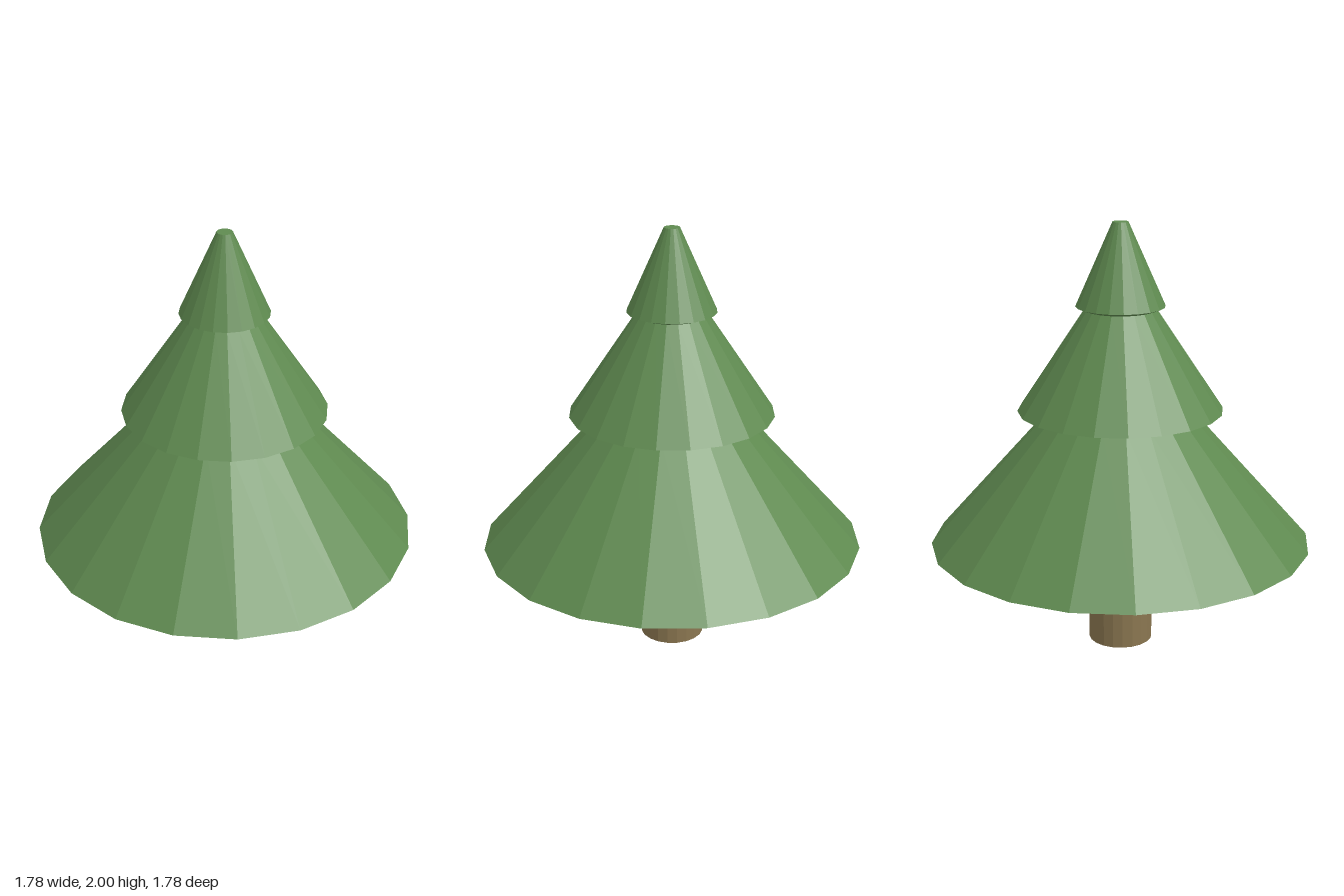
import * as THREE from 'three';

const SIDES = 20;

export function createModel() {
  const tree = new THREE.Group();
  tree.name = 'pineTree';

  const bark = new THREE.MeshStandardMaterial({ color: 0x8a7650, flatShading: true });
  const needles = new THREE.MeshStandardMaterial({ color: 0x5f8a50, flatShading: true });

  // Faceted ring surface from [radius, height] pairs, listed bottom to top
  const addLathe = (name, profile, material) => {
    const points = profile.map(([r, y]) => new THREE.Vector2(r, y));
    const mesh = new THREE.Mesh(new THREE.LatheGeometry(points, SIDES), material);
    mesh.name = name;
    tree.add(mesh);
  };

  // Trunk, with a green disc closing its foot
  addLathe('trunk', [[0.15, 0], [0.15, 0.385]], bark);
  addLathe('trunkBase', [[0, 0], [0.15, 0]], needles);

  // Foliage tiers: each has a sloping underside, a wide rim and a tapering top
  addLathe('lowerFoliage', [[0.15, 0.385], [0.89, 0.5], [0.335, 1.125]], needles);
  addLathe('middleFoliage', [[0.335, 1.125], [0.475, 1.137], [0.165, 1.605]], needles);
  addLathe('upperFoliage', [[0.165, 1.605], [0.205, 1.62], [0.036, 2], [0, 2]], needles);

  return tree;
}
